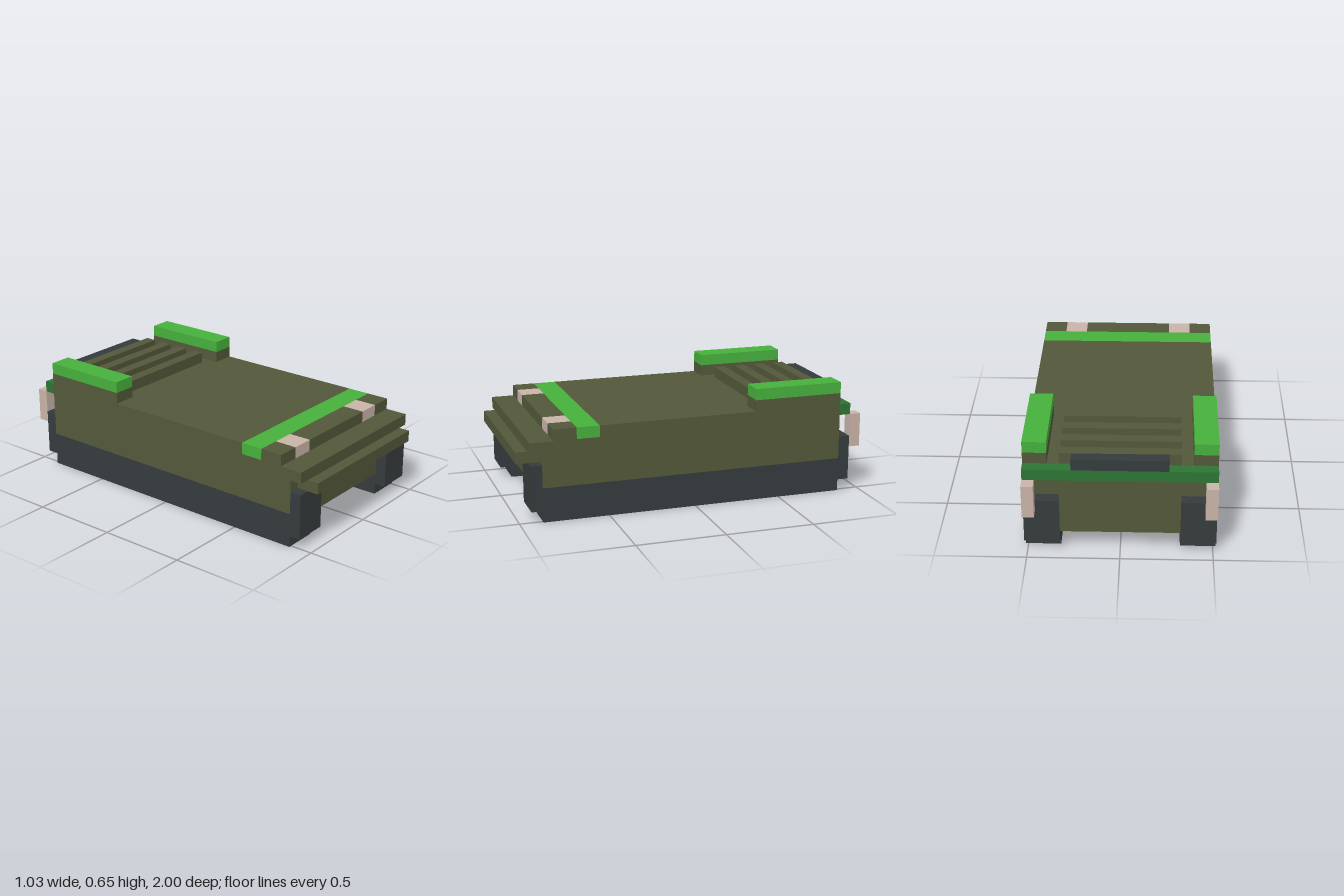
import * as THREE from 'three';

// One block unit: the model is 31 units long, 16 wide, 10 high
const U = 2 / 31;

function material(name, color) {
  const m = new THREE.MeshStandardMaterial({ color });
  m.name = name;
  return m;
}

export function createModel() {
  const olive = material('olive', 0x52583a);
  const green = material('bright green', 0x46b03c);
  const darkGreen = material('dark green', 0x2d7434);
  const charcoal = material('charcoal', 0x353b3d);
  const beige = material('beige', 0xc9b3a8);
  const model = new THREE.Group();
  model.name = 'trackedHull';

  // Box from min/max corners in units; z is measured from the centre
  function box(name, mat, x0, x1, y0, y1, z0, z1) {
    const geometry = new THREE.BoxGeometry((x1 - x0) * U, (y1 - y0) * U, (z1 - z0) * U);
    const mesh = new THREE.Mesh(geometry, mat);
    mesh.position.set((x0 + x1) * U / 2, (y0 + y1) * U / 2, (z0 + z1) * U / 2);
    mesh.name = name;
    model.add(mesh);
  }
  // The same box on both sides
  function pair(name, mat, x0, x1, ...rest) {
    box(name + 'Left', mat, x0, x1, ...rest);
    box(name + 'Right', mat, -x1, -x0, ...rest);
  }

  // Tracks with stepped ends
  pair('track', charcoal, 5, 8, 0, 3, -13.5, 13.5);
  pair('trackFront', charcoal, 5, 8, 1, 5, 13.5, 14.5);
  pair('trackRear', charcoal, 5, 8, 1, 5, -14.5, -13.5);

  // Hull: belly between the tracks, wide body above them
  box('belly', olive, -5, 5, 2, 3, -14.5, 13.5);
  box('body', olive, -8, 8, 3, 7, -13.5, 13.5);
  box('rearPlate', olive, -5, 5, 3, 7, -14.5, -13.5);
  box('frontSlab', olive, -8, 8, 6, 7, 13.5, 14.5);
  box('frontLedge', olive, -7, 7, 5, 6, 13.5, 15.5);

  // Deck layer, with the painted band and headlights set in
  box('deck', olive, -8, 8, 7, 8, -13.5, 8.5);
  box('deckBand', green, -8, 8, 7, 8, 8.5, 10.5);
  box('noseCentre', olive, -4, 4, 7, 8, 10.5, 12.5);
  pair('headlight', beige, 4, 6, 7, 8, 10.5, 12.5);
  pair('noseSide', olive, 6, 8, 7, 8, 10.5, 12.5);

  // Storage bins with green lids
  pair('bin', olive, 6, 8, 8, 9, -13.5, -5.5);
  pair('binLid', green, 6, 8, 9, 10, -13.5, -5.5);

  // Engine grille slats and exhaust
  for (let i = 0; i < 4; i++) {
    box('grilleSlat' + (i + 1), olive, -5, 5, 8, 9, -7.5 - 2 * i, -6.5 - 2 * i);
  }
  box('exhaust', charcoal, -4, 4, 8, 9, -14.5, -13.5);

  // Rear bumper and tail lights
  box('rearBumper', darkGreen, -8, 8, 7, 8, -14.5, -13.5);
  pair('tailLight', beige, 7, 8, 4, 7, -15.5, -14.5);

  return model;
}
